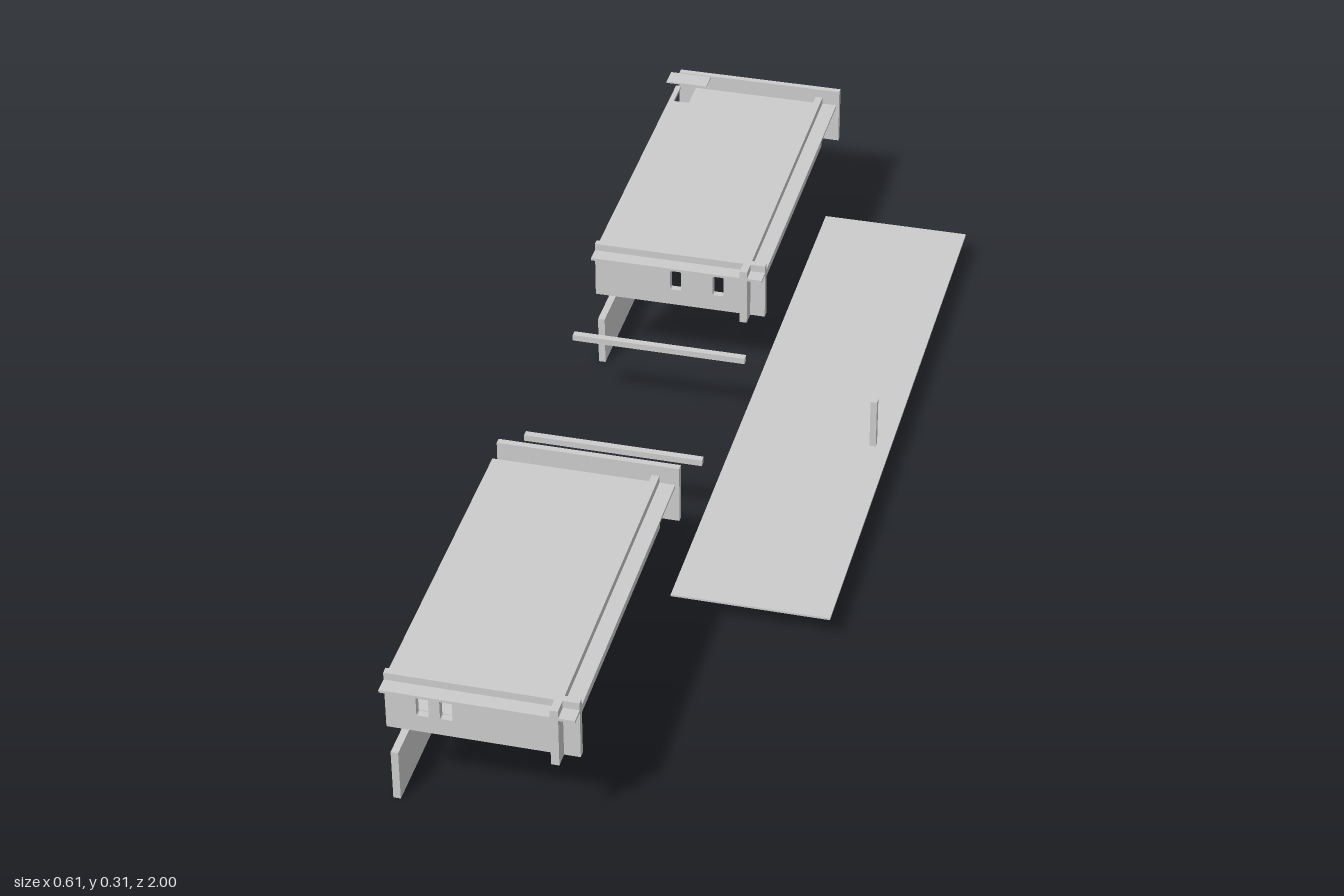
import * as THREE from 'three';

const material = new THREE.MeshStandardMaterial({ color: 0xcccccc, side: THREE.DoubleSide });

const X0 = -0.308, X1 = 0.02;          // width of the pavilions
const Y0 = 0.163, Y1 = 0.275;          // bottom and top of the upper walls
const WINDOW_Y0 = 0.196, WINDOW_Y1 = 0.237;

function add(parent, name, geometry) {
  const mesh = new THREE.Mesh(geometry, material);
  mesh.name = name;
  parent.add(mesh);
  return mesh;
}

// Box given by its limits on each axis
function block(parent, name, [x0, x1], [y0, y1], [z0, z1]) {
  const mesh = add(parent, name, new THREE.BoxGeometry(x1 - x0, y1 - y0, z1 - z0));
  mesh.position.set((x0 + x1) / 2, (y0 + y1) / 2, (z0 + z1) / 2);
  return mesh;
}

function rectangle(shape, x0, y0, x1, y1) {
  return shape.moveTo(x0, y0).lineTo(x1, y0).lineTo(x1, y1).lineTo(x0, y1).closePath();
}

// Window opening with slightly rounded corners
function windowHole(centre, width) {
  const a = centre - width / 2, b = centre + width / 2, r = 0.003;
  const c = WINDOW_Y0, d = WINDOW_Y1;
  return new THREE.Path()
    .moveTo(a + r, c).lineTo(b - r, c).quadraticCurveTo(b, c, b, c + r)
    .lineTo(b, d - r).quadraticCurveTo(b, d, b - r, d)
    .lineTo(a + r, d).quadraticCurveTo(a, d, a, d - r)
    .lineTo(a, c + r).quadraticCurveTo(a, c, a + r, c);
}

// Upright wall, drawn along its length and extruded to its thickness
function wallGeometry(from, to, thickness, centres, width) {
  const shape = rectangle(new THREE.Shape(), from, Y0, to, Y1);
  for (const c of centres) shape.holes.push(windowHole(c, width));
  return new THREE.ExtrudeGeometry(shape, { depth: thickness, bevelEnabled: false, curveSegments: 3 });
}

// One pavilion; zFront is the front edge of its roof
function pavilion(name, zFront, frontWindows, backWindows, floorZ, notched) {
  const group = new THREE.Group();
  group.name = name;
  const length = 0.652;
  const zBack = zFront - length;

  // Front and side walls cross at the corner and rise above the roof
  add(group, 'frontWall', wallGeometry(X0, X1, 0.013, frontWindows, 0.021))
    .position.z = zFront - 0.041;

  const sideWindows = [];
  for (let i = 0; i < 3; i++) sideWindows.push(0.137 + i * 0.165, 0.179 + i * 0.165);
  const side = add(group, 'sideWall', wallGeometry(0, length, 0.014, sideWindows, 0.025));
  side.rotation.y = Math.PI / 2;
  side.position.set(-0.022, 0, zFront);

  // Detached back wall
  add(group, 'backWall', wallGeometry(X0, X1, 0.012, backWindows, 0.021))
    .position.z = zFront - 0.692;

  // Roof slab, with a slot in its back edge where the hatch belongs
  const roofShape = new THREE.Shape().moveTo(X0, -zFront).lineTo(X1, -zFront).lineTo(X1, -zBack);
  if (notched) {
    roofShape.lineTo(-0.267, -zBack).lineTo(-0.267, -zBack - 0.06)
      .lineTo(-0.298, -zBack - 0.06).lineTo(-0.298, -zBack);
  }
  roofShape.lineTo(X0, -zBack).closePath();
  const roof = add(group, 'roofSlab', new THREE.ExtrudeGeometry(roofShape, { depth: 0.005, bevelEnabled: false }));
  roof.rotation.x = -Math.PI / 2;
  roof.position.y = 0.256;

  // Floor slab and low wall beneath
  block(group, 'floorSlab', [X0, -0.062], [0.158, 0.163], floorZ);
  block(group, 'lowWall', [X0, -0.295], [0, 0.098], [zBack + 0.002, zFront - 0.04]);
  return group;
}

export function createModel() {
  const model = new THREE.Group();
  model.name = 'explodedPavilions';

  const near = [-0.245, -0.205], wide = [-0.152, -0.07];
  model.add(pavilion('frontPavilion', 1.0, near, wide, [0.39, 0.92], false));
  const rear = pavilion('rearPavilion', -0.308, wide, near, [-0.955, -0.507], true);
  // Low wall of the rear pavilion
  const low = rear.getObjectByName('lowWall');
  low.position.z = -0.653;
  model.add(rear);

  // Roof hatch floating above the slot
  block(model, 'roofHatch', [X0, -0.227], [0.311, 0.314], [-0.921, -0.883]);

  // Cross beams between the pavilions
  for (const z of [0.15, -0.178]) {
    block(model, 'crossBeam', [X0, X1], [0.165, 0.177], [z - 0.0065, z + 0.0065]);
  }

  // Terrace and its post
  block(model, 'terrace', [0.02, 0.305], [0.046, 0.05], [-0.88, 0.385]);
  block(model, 'terracePost', [0.266, 0.278], [0.05, 0.148], [-0.144, -0.132]);

  return model;
}
